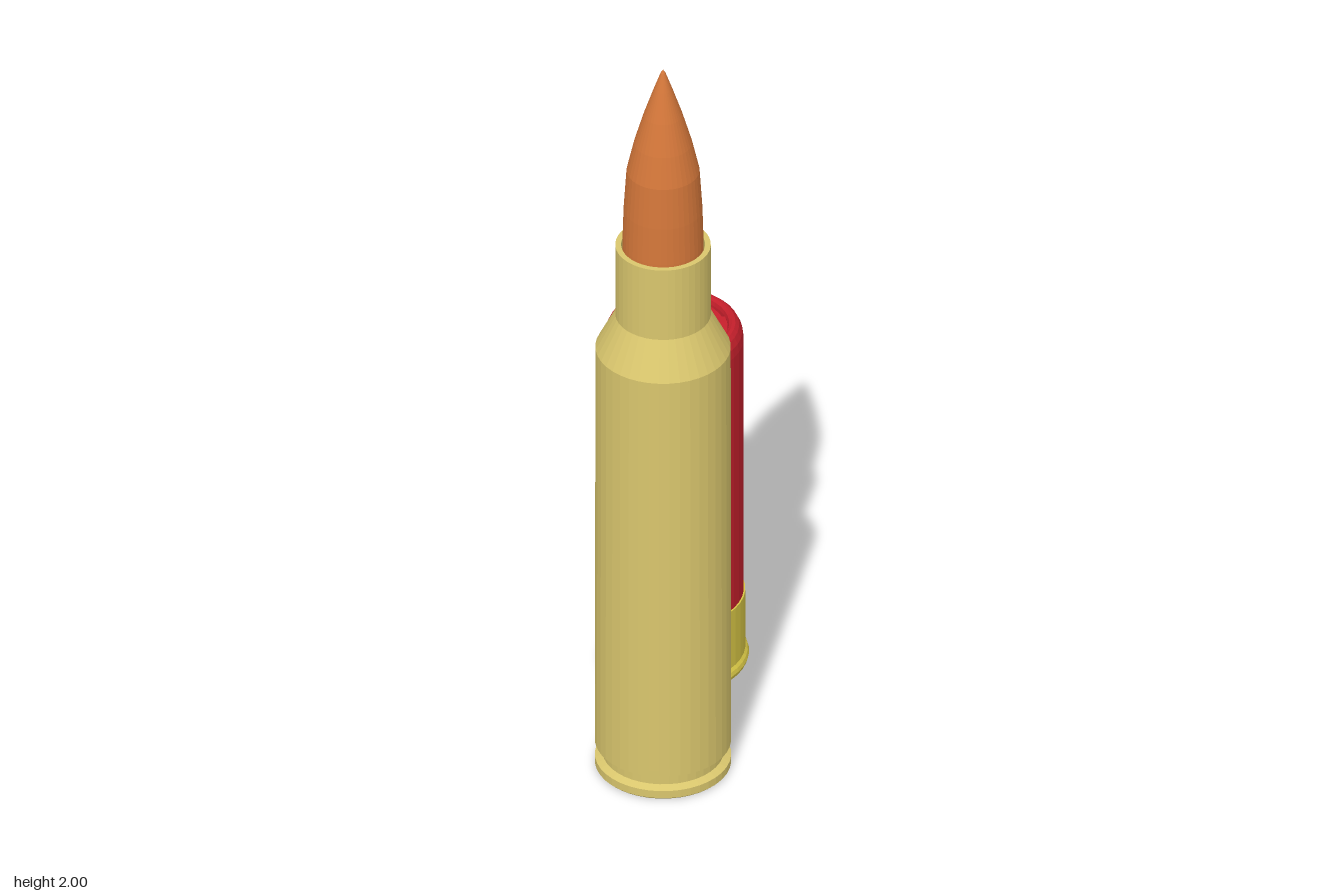
import * as THREE from 'three';

const SIDES = 40;
const material = (color) => new THREE.MeshStandardMaterial({ color, flatShading: true });

// Turned part from [radius, height] pairs, listed from the bottom axis upward
function turned(name, color, profile) {
  const points = profile.map(([r, y]) => new THREE.Vector2(r, y));
  const mesh = new THREE.Mesh(new THREE.LatheGeometry(points, SIDES), material(color));
  mesh.name = name;
  return mesh;
}

// Shallow primer cup, set inside a pocket in the base
const primer = (radius, y) => turned('primer', 0x7d6238, [
  [0, y + 0.008], [radius * 0.75, y + 0.004], [radius * 0.95, y + 0.012], [radius, y + 0.025],
]);

// Pinwheel of overlapping folds that closes the shell mouth
function foldedCrimp(radius, y, folds, startAngle) {
  const positions = [], index = [];
  const rings = 5, steps = 5;
  const columns = [];
  for (let f = 0; f < folds; f++)
    for (let s = 0; s <= steps; s++) columns.push({ f, t: s / steps });
  for (const { f, t } of columns) {
    for (let i = 0; i <= rings; i++) {
      const k = i / rings;
      const a = startAngle + ((f + t) / folds) * Math.PI * 2;
      const lift = 0.022 * Math.sin(Math.PI * Math.min(k * 0.8, 1)) * (t - 0.5);
      positions.push(radius * k * Math.cos(a), y + lift, -radius * k * Math.sin(a));
    }
  }
  const n = columns.length, row = rings + 1;
  for (let c = 0; c < n; c++) {
    for (let i = 0; i < rings; i++) {
      const a = c * row + i, b = ((c + 1) % n) * row + i;
      index.push(a, a + 1, b + 1, a, b + 1, b);
    }
  }
  const geometry = new THREE.BufferGeometry();
  geometry.setAttribute('position', new THREE.Float32BufferAttribute(positions, 3));
  geometry.setIndex(index);
  geometry.computeVertexNormals();
  const mat = material(0xc41f2b);
  mat.side = THREE.DoubleSide;
  const mesh = new THREE.Mesh(geometry, mat);
  mesh.name = 'foldedCrimp';
  return mesh;
}

function group(name, z, ...parts) {
  const g = new THREE.Group();
  g.name = name;
  g.position.z = z;
  g.add(...parts);
  return g;
}

function rifleCartridge() {
  const casing = turned('rifleCase', 0xd9c66d, [
    [0, 0.03], [0.078, 0.03], [0.08, 0], [0.16, 0], [0.164, 0.004], [0.164, 0.024],
    [0.146, 0.032], [0.146, 0.058], [0.164, 0.066], [0.164, 0.082],
    [0.163, 1.2], [0.115, 1.295], [0.115, 1.495], [0.101, 1.495], [0.101, 1.45],
  ]);
  const bullet = turned('rifleBullet', 0xd4773a, [
    [0, 1.45], [0.098, 1.45], [0.098, 1.5], [0.095, 1.6], [0.088, 1.71],
    [0.07, 1.79], [0.047, 1.87], [0.022, 1.945], [0.006, 1.99], [0, 2],
  ]);
  return group('rifleCartridge', 0.39, casing, bullet, primer(0.078, 0));
}

function shotgunShell() {
  const base = turned('shellBase', 0xd6c545, [
    [0, 0.035], [0.043, 0.035], [0.045, 0.012], [0.17, 0.012], [0.178, 0.018], [0.181, 0.028],
    [0.178, 0.038], [0.172, 0.045], [0.172, 0.208], [0.165, 0.208],
  ]);
  const hull = turned('shellHull', 0xc41f2b, [
    [0.168, 0.2], [0.168, 0.93], [0.165, 0.953], [0.157, 0.97], [0.148, 0.978],
    [0.14, 0.979], [0.133, 0.974], [0.13, 0.964], [0.129, 0.945],
  ]);
  const crimp = foldedCrimp(0.13, 0.958, 7, THREE.MathUtils.degToRad(74));
  return group('shotgunShell', -0.052, base, hull, crimp, primer(0.043, 0.012));
}

function pistolCartridge() {
  const casing = turned('pistolCase', 0x8a6d3f, [
    [0, 0.035], [0.064, 0.035], [0.067, 0.01], [0.116, 0.01], [0.122, 0.015], [0.122, 0.028],
    [0.107, 0.034], [0.107, 0.056], [0.122, 0.072], [0.122, 0.498],
    [0.117, 0.51], [0.111, 0.51], [0.111, 0.48],
  ]);
  const bullet = turned('pistolBullet', 0xb3a683, [
    [0, 0.48], [0.108, 0.48], [0.108, 0.51], [0.102, 0.56], [0.091, 0.605],
    [0.075, 0.645], [0.055, 0.673], [0.03, 0.689], [0, 0.694],
  ]);
  return group('pistolCartridge', -0.432, casing, bullet, primer(0.062, 0.01));
}

export function createModel() {
  const model = new THREE.Group();
  model.name = 'ammunitionSet';
  model.add(rifleCartridge(), shotgunShell(), pistolCartridge());
  return model;
}
